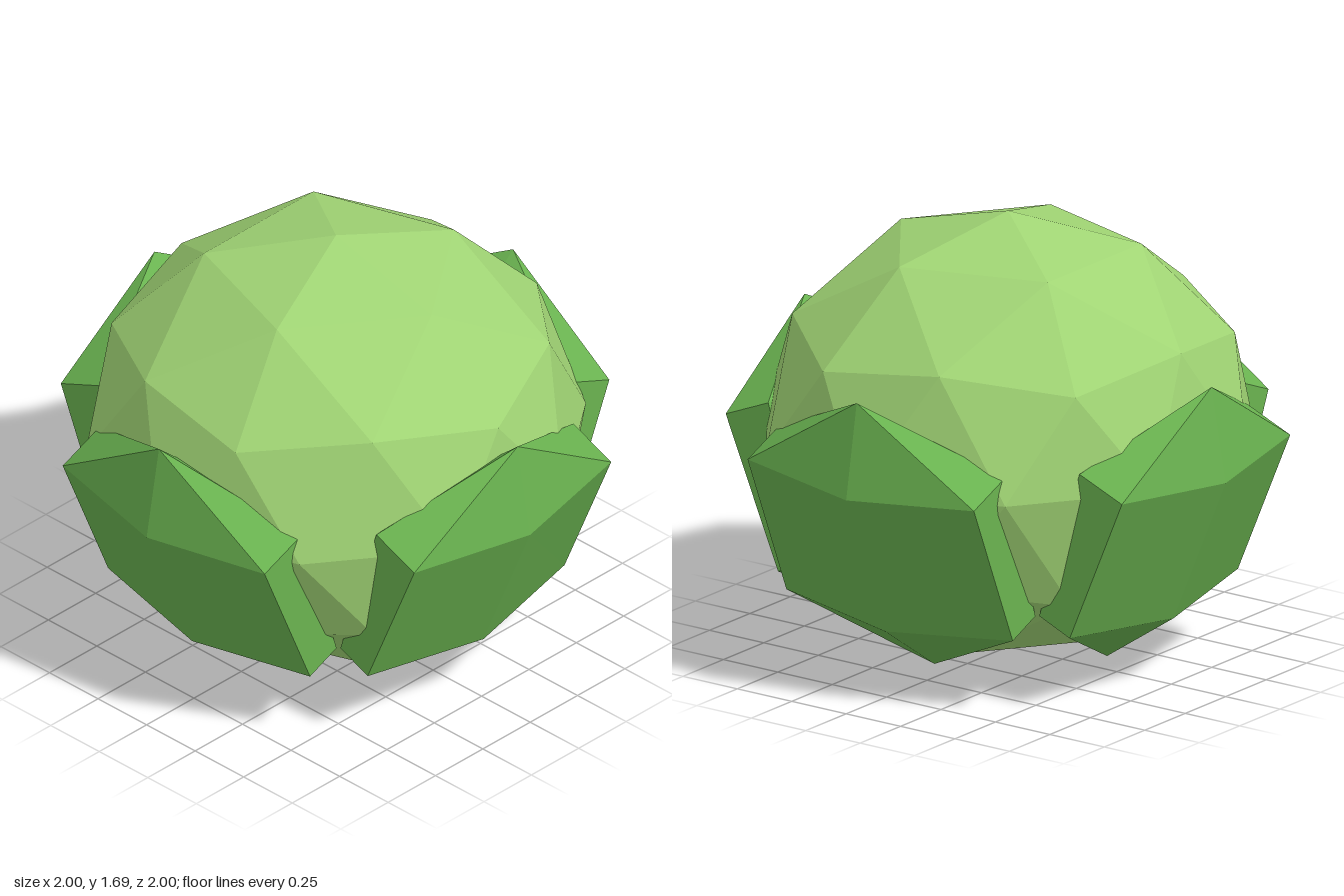
import * as THREE from 'three';

// One leaf: a thick faceted shell, mirrored across x = 0, facing +z
function leafGeometry() {
  const P = {
    tip: [0, 1.19, 0.935], base: [0, 0.055, 0.455],
    outTop: [0, 0.83, 1.0], outTopSide: [0.52, 0.865, 0.91],
    outLow: [0, 0.26, 0.76], outLowSide: [0.52, 0.3, 0.67],
    inTop: [0, 1.03, 0.75], inTopSide: [0.52, 0.945, 0.715],
    inLow: [0, 0.22, 0.42], inLowSide: [0.52, 0.36, 0.53],
  };
  const faces = [
    ['outTop', 'outLow', 'outLowSide', 'outTopSide'],
    ['tip', 'outTop', 'outTopSide'],
    ['outLow', 'base', 'outLowSide'],
    ['tip', 'outTopSide', 'inTopSide'],
    ['outTopSide', 'outLowSide', 'inLowSide', 'inTopSide'],
    ['base', 'inLowSide', 'outLowSide'],
    ['tip', 'inTopSide', 'inTop'],
    ['inTop', 'inTopSide', 'inLowSide', 'inLow'],
    ['inLow', 'inLowSide', 'base'],
  ];
  const pos = [];
  for (const face of faces) {
    for (let i = 1; i < face.length - 1; i++) {
      const tri = [face[0], face[i], face[i + 1]].map((n) => P[n]);
      for (const p of tri) pos.push(...p);
      // mirrored half, with the corner order reversed
      for (const [x, y, z] of tri.reverse()) pos.push(-x, y, z);
    }
  }
  const g = new THREE.BufferGeometry();
  g.setAttribute('position', new THREE.Float32BufferAttribute(pos, 3));
  g.computeVertexNormals();
  return g;
}

// Faceted ball with a corner at the very top and bottom, slightly flattened
function ballGeometry() {
  const g = new THREE.IcosahedronGeometry(1, 1);
  g.rotateZ(-Math.atan(2 / (1 + Math.sqrt(5))));
  g.scale(0.935, 0.845, 0.935);
  g.translate(0, 0.848, 0);
  g.computeVertexNormals();
  return g;
}

export function createModel() {
  const headGreen = new THREE.MeshStandardMaterial({ name: 'headGreen', color: 0xa0d474, flatShading: true });
  const leafGreen = new THREE.MeshStandardMaterial({ name: 'leafGreen', color: 0x6ab350, flatShading: true });
  const model = new THREE.Group();
  model.name = 'leafyBall';

  const ball = new THREE.Mesh(ballGeometry(), headGreen);
  ball.name = 'ball';
  model.add(ball);

  // Four leaves wrapped around the ball
  const leaf = leafGeometry();
  ['frontLeaf', 'leftLeaf', 'backLeaf', 'rightLeaf'].forEach((name, i) => {
    const mesh = new THREE.Mesh(leaf, leafGreen);
    mesh.name = name;
    mesh.rotation.y = (i * Math.PI) / 2;
    model.add(mesh);
  });
  return model;
}
